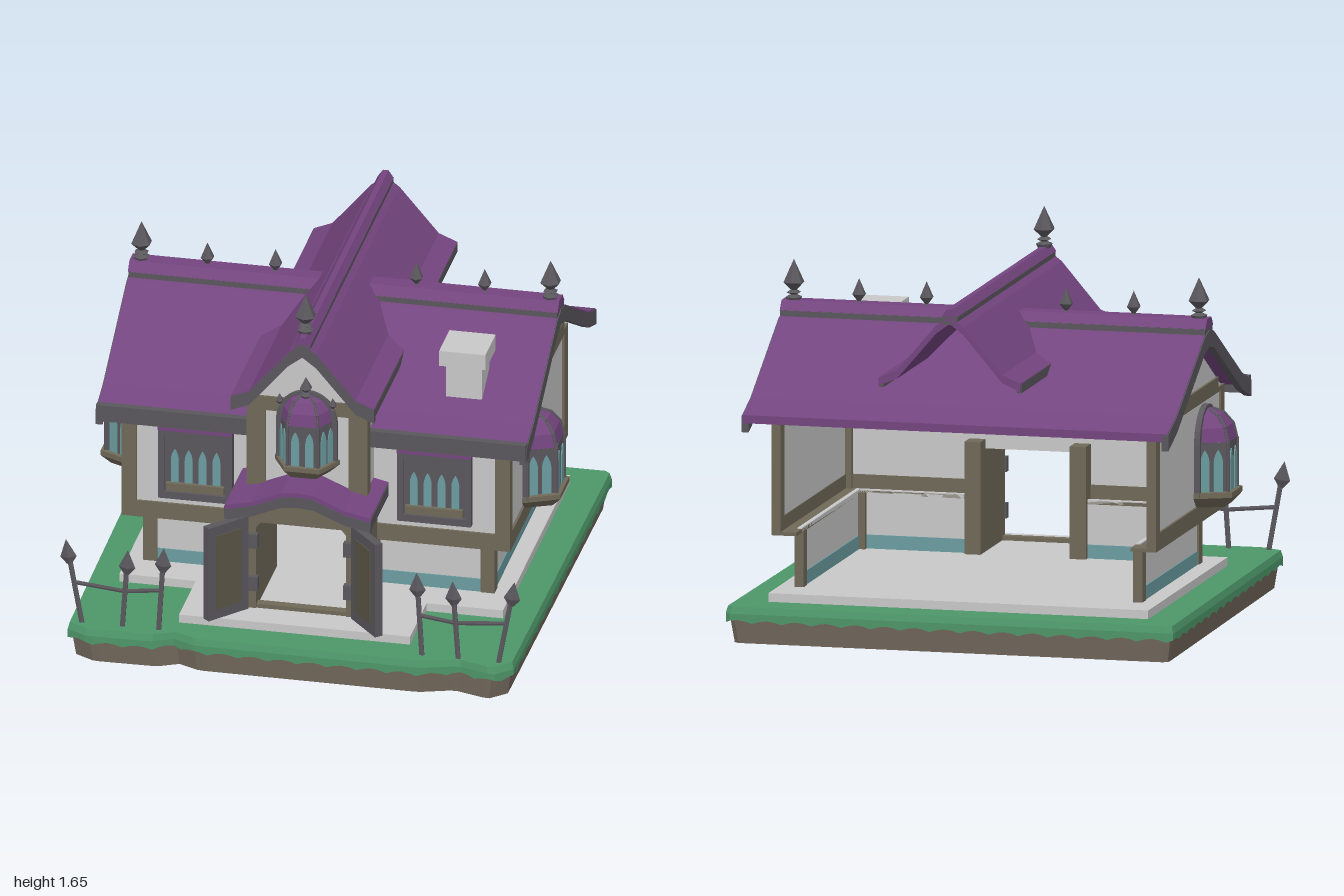
import * as THREE from 'three';

const mat = (name, color, side = THREE.FrontSide) => {
  const m = new THREE.MeshStandardMaterial({ color, side });
  m.name = name;
  return m;
};

export function createModel() {
  const D = THREE.DoubleSide;
  const plaster = mat('plaster', 0xc8c8c8, D), timber = mat('timber', 0x706958, D);
  const purple = mat('purple roof', 0x74457f, D), slate = mat('slate', 0x5a575d, D);
  const darkWood = mat('dark wood', 0x5c5546), glass = mat('teal glass', 0x6b9da0);
  const grass = mat('grass', 0x4e9669, D), earth = mat('earth', 0x756b5e, D);
  const root = new THREE.Group();
  const sides = [-1, 1];

  // ---- helpers ----
  const add = (name, geo, m, x = 0, y = 0, z = 0, parent = root) => {
    const o = new THREE.Mesh(geo, m);
    o.name = name;
    o.position.set(x, y, z);
    parent.add(o);
    return o;
  };
  const group = (name, x, y, z) => {
    const g = new THREE.Group();
    g.name = name;
    g.position.set(x, y, z);
    root.add(g);
    return g;
  };
  const box = (name, m, x0, x1, y0, y1, z0, z1, parent = root) =>
    add(name, new THREE.BoxGeometry(Math.abs(x1 - x0), y1 - y0, z1 - z0), m,
      (x0 + x1) / 2, (y0 + y1) / 2, (z0 + z1) / 2, parent);
  const flat = (g) => {
    const n = g.index ? g.toNonIndexed() : g;
    n.computeVertexNormals();
    return n;
  };
  const poly = (pts) => new THREE.Shape(pts.map(([x, y]) => new THREE.Vector2(x, y)));
  const extrude = (shape, depth) =>
    new THREE.ExtrudeGeometry(shape, { depth, bevelEnabled: false, curveSegments: 8 });
  // skin through rings of [x, y, z], listed bottom to top
  const loft = (rings, closed) => {
    const v = [], n = rings[0].length;
    for (let r = 0; r < rings.length - 1; r++)
      for (let i = 0; i < (closed ? n : n - 1); i++) {
        const j = (i + 1) % n, [a, b, c, d] = [rings[r][i], rings[r][j], rings[r + 1][j], rings[r + 1][i]];
        v.push(...a, ...b, ...c, ...a, ...c, ...d);
      }
    const g = new THREE.BufferGeometry();
    g.setAttribute('position', new THREE.Float32BufferAttribute(v, 3));
    g.computeVertexNormals();
    return g;
  };
  const bar = (name, a, b, r, m, parent) => {
    const A = new THREE.Vector3(...a), B = new THREE.Vector3(...b), d = B.clone().sub(A);
    const o = add(name, flat(new THREE.CylinderGeometry(r, r, d.length(), 6)), m, 0, 0, 0, parent);
    o.position.copy(A).add(B).multiplyScalar(0.5);
    o.quaternion.setFromUnitVectors(new THREE.Vector3(0, 1, 0), d.normalize());
  };
  const ornate = [[0.6, 0], [0.8, 0.1], [0.3, 0.16], [0.7, 0.21], [0.3, 0.27], [1, 0.45], [0, 1]];
  const plain = [[0.6, 0], [0.25, 0.12], [1, 0.38], [0, 1]];
  const finial = (x, y, z, h, r, prof = plain, parent = root, n = 6) =>
    add('finial', flat(new THREE.LatheGeometry(prof.map(([a, b]) => new THREE.Vector2(a * r, b * h)), n)), slate, x, y, z, parent);
  // symmetric gable sheet: outer points run from eave to ridge
  const roof = (pts, t, len) => {
    const up = [...pts, ...pts.filter((p) => p[0] > 0).reverse().map(([x, y]) => [-x, y])];
    return extrude(poly([...up, ...up.slice().reverse().map(([x, y]) => [x, y - t])]), len);
  };
  const lower = (pts, d) => pts.map(([x, y]) => [x, y - d]);
  const lancet = (w, h) => {
    const s = new THREE.Shape();
    s.moveTo(-w, 0); s.lineTo(w, 0); s.lineTo(w, h * 0.65);
    s.quadraticCurveTo(w, h * 0.85, 0, h);
    s.quadraticCurveTo(-w, h * 0.85, -w, h * 0.65);
    return extrude(s, 0.005);
  };

  // ---- ground: scalloped turf over an open earth skirt ----
  const outline = poly([[-0.96, -0.93], [-0.87, -0.98], [-0.59, -0.975], [-0.5, -0.93], [-0.4, -0.975],
    [0.58, -0.98], [0.73, -0.93], [0.89, -0.98], [0.965, -0.91], [0.98, 0.97], [0.97, 0.985], [-0.97, 0.985], [-0.98, 0.97]]);
  outline.closePath();
  const edge = outline.getSpacedPoints(240).slice(0, 240);
  const ring = (k, y) => edge.map((p, i) => [p.x * k, typeof y === 'function' ? y(i) : y, -p.y * k]);
  add('earthSkirt', loft([ring(0.968, 0), ring(0.99, 0.15)], true), earth);
  add('turfEdge', loft([ring(1, (i) => 0.09 + 0.014 * Math.abs(Math.sin(i * Math.PI / 4))), ring(1, 0.13), ring(0.992, 0.16)], true), grass);
  const slabPts = [[-0.83, 0.83], [-0.83, -0.5], [-0.5, -0.5], [-0.5, -0.83], [0.5, -0.83], [0.5, -0.5], [0.83, -0.5], [0.83, 0.83]];
  const lawn = poly(edge.map((p) => [p.x * 0.992, p.y * 0.992]));
  lawn.holes.push(poly(slabPts));
  add('lawn', new THREE.ShapeGeometry(lawn).rotateX(-Math.PI / 2), grass, 0, 0.16, 0);
  add('floor', new THREE.ShapeGeometry(poly(slabPts)).rotateX(-Math.PI / 2), plaster, 0, 0.197, 0);
  add('floorEdge', loft([0.155, 0.197].map((y) => slabPts.map(([x, b]) => [x, y, -b])), true), plaster);

  // ---- walls; the back is open ----
  const gableEnd = poly([[0.4, 0.44], [0.4, 0.955], [0.36, 0.975], [-0.11, 1.24], [-0.19, 1.262],
    [-0.27, 1.24], [-0.73, 0.975], [-0.73, 0.44]]);
  for (const s of sides) {
    box('lowerSideWall', plaster, s * 0.73, s * 0.75, 0.197, 0.45, -0.65, 0.34);
    box('lowerFrontWall', plaster, s * 0.2, s * 0.75, 0.197, 0.45, 0.32, 0.34);
    box('sideBaseStripe', glass, s * 0.725, s * 0.755, 0.198, 0.257, -0.6, 0.29);
    box('frontBaseStripe', glass, s * 0.265, s * 0.7, 0.198, 0.257, 0.315, 0.345);
    box('lowerFrontPost', timber, s * 0.7, s * 0.76, 0.198, 0.44, 0.29, 0.35);
    box('lowerBackPost', timber, s * 0.72, s * 0.76, 0.198, 0.44, -0.66, -0.6);
    add('upperSideWall', extrude(gableEnd, 0.025).rotateY(-Math.PI / 2), plaster, s * 0.817 + 0.0125, 0, 0);
    box('upperFrontWall', plaster, s * 0.2, s * 0.82, 0.44, 0.945, 0.375, 0.4);
    box('frontSill', timber, s * 0.24, s * 0.84, 0.43, 0.505, 0.37, 0.41);
    box('sideSill', timber, s * 0.8, s * 0.84, 0.43, 0.505, -0.74, 0.41);
    box('sideSoffit', timber, s * 0.73, s * 0.84, 0.43, 0.445, -0.74, 0.41);
    box('frontSoffit', timber, s * 0.24, s * 0.74, 0.43, 0.445, 0.32, 0.41);
    box('upperFrontPost', timber, s * 0.775, s * 0.84, 0.43, 0.945, 0.355, 0.41);
    box('upperBackPost', timber, s * 0.8, s * 0.84, 0.43, 0.955, -0.74, -0.67);
    box('sideTopBeam', timber, s * 0.8, s * 0.84, 0.94, 1.005, -0.67, 0.31);
    box('sideTopBeamEnd', timber, s * 0.8, s * 0.84, 0.94, 0.96, -0.74, 0.41);
  }
  box('frontLintelWall', plaster, -0.21, 0.21, 0.64, 0.945, 0.375, 0.4);

  // ---- main roof, ridge along x ----
  const mainPts = [[0.695, 0.967], [0.55, 1.02], [0.08, 1.28], [0, 1.3]];
  const alongX = (g, len) => g.translate(0, 0, -len / 2).rotateY(Math.PI / 2);
  add('mainRoof', alongX(roof(mainPts, 0.035, 1.856), 1.856), purple, 0, 0, -0.19);
  for (const s of sides)
    add('mainBargeboard', alongX(roof(lower(mainPts, 0.004), 0.07, 0.03), 0.03), slate, s * 0.917, 0, -0.19);
  box('mainEaveBoard', slate, -0.93, 0.93, 0.91, 0.985, 0.475, 0.508);
  add('mainRidgeLip', alongX(extrude(poly([[-0.065, 1.27], [0.065, 1.27], [0.065, 1.31], [-0.065, 1.31]]), 1.856), 1.856), slate, 0, 0, -0.19);
  add('mainRidgeCap', alongX(extrude(poly([[-0.066, 1.308], [0.066, 1.308], [0.035, 1.348], [-0.035, 1.348]]), 1.86), 1.86), purple, 0, 0, -0.19);
  for (const s of sides) {
    finial(s * 0.885, 1.34, -0.19, 0.18, 0.046, ornate);
    for (const x of [0.305, 0.6]) finial(s * x, 1.34, -0.19, 0.11, 0.03);
  }

  // ---- cross gable, ridge along z ----
  const crossPts = [[0.31, 1.172], [0.23, 1.205], [0.06, 1.405], [0, 1.45]];
  add('crossRoof', roof(crossPts, 0.035, 1.647), purple, 0, 0, -0.975);
  add('crossBargeboard', roof(lower(crossPts, 0.004), 0.062, 0.03), slate, 0, 0, 0.645);
  add('crossRidgeLip', extrude(poly([[-0.034, 1.41], [0.034, 1.41], [0.034, 1.447], [-0.034, 1.447]]), 1.645), slate, 0, 0, -0.975);
  add('crossRidgeCap', extrude(poly([[-0.035, 1.445], [0.035, 1.445], [0.012, 1.478], [-0.012, 1.478]]), 1.655), purple, 0, 0, -0.975);
  finial(0, 1.47, 0.61, 0.18, 0.046, ornate);
  add('gableFront', extrude(poly([[-0.245, 0.68], [0.245, 0.68], [0.245, 1.13], [0, 1.4], [-0.245, 1.13]]), 0.03), plaster, 0, 0, 0.545);
  const cheek = poly([[0.57, 0.68], [0.57, 1.15], [0.12, 1.15], [0.4, 0.97], [0.4, 0.68]]);
  box('gableBeam', timber, -0.262, 0.262, 1.075, 1.14, 0.54, 0.583);
  for (const s of sides) {
    box('crossEaveBoard', slate, s * 0.29, s * 0.312, 1.13, 1.17, -0.97, 0.67);
    add('gableCheek', extrude(cheek, 0.03).rotateY(-Math.PI / 2), plaster, s * 0.235 + 0.015, 0, 0);
    box('gablePost', timber, s * 0.18, s * 0.262, 0.68, 1.14, 0.52, 0.585);
    box('cheekBeam', timber, s * 0.22, s * 0.26, 1.075, 1.14, 0.2, 0.58);
  }

  // ---- porch with two open doors ----
  const porchPts = [[0.315, 0.705], [0.2, 0.73], [0.07, 0.785], [0, 0.792]];
  add('porchRoof', roof(porchPts, 0.03, 0.362), purple, 0, 0, 0.41);
  add('porchBargeboard', roof(lower(porchPts, 0.02), 0.048, 0.035), slate, 0, 0, 0.738);
  add('porchPediment', extrude(poly([[-0.265, 0.57], [-0.2, 0.57], [-0.175, 0.602], [0.175, 0.602], [0.2, 0.57], [0.265, 0.57],
    [0.265, 0.67], [0.06, 0.745], [-0.06, 0.745], [-0.265, 0.67]]), 0.05), timber, 0, 0, 0.65);
  box('threshold', timber, -0.2, 0.2, 0.185, 0.215, 0.655, 0.695);
  for (const s of sides) {
    box('porchWall', timber, s * 0.195, s * 0.265, 0.185, 0.68, 0.29, 0.7);
    box('porchEaveBoard', slate, s * 0.29, s * 0.318, 0.65, 0.7, 0.42, 0.77);
    const door = group('door', s * 0.235, 0, 0.715);
    door.rotation.y = -s * 0.85;
    box('doorLeaf', slate, 0, s * 0.21, 0.205, 0.64, -0.018, 0.018, door);
    box('doorPanel', darkWood, s * 0.04, s * 0.17, 0.25, 0.595, -0.022, 0.022, door);
    for (const y of [0.285, 0.485]) box('hinge', slate, s * 0.185, s * 0.235, y, y + 0.065, 0.69, 0.72);
  }

  // ---- bay windows with domed tops ----
  const bayRing = ([w, d, y]) => [[-w, y, 0], [-0.55 * w, y, d], [0.55 * w, y, d], [w, y, 0]];
  const bay = (x, y, z) => {
    const g = group('bayWindow', x, y, z);
    const base = [[0.11, 0, 0], [0.11, 0.11, 0], [0.16, 0.15, 0.045], [0.16, 0.15, 0.068], [0.13, 0.12, 0.07]].map(bayRing);
    const body = [[0.138, 0.13, 0.06], [0.138, 0.13, 0.28]].map(bayRing);
    const dome = [[0.136, 0.128, 0.28], [0.125, 0.115, 0.34], [0.09, 0.08, 0.387], [0.04, 0.035, 0.41], [0, 0, 0.415]].map(bayRing);
    add('bayBase', loft(base), timber, 0, 0, 0, g);
    add('bayBody', loft(body), slate, 0, 0, 0, g);
    add('bayDome', loft(dome), purple, 0, 0, 0, g);
    for (const i of [1, 2]) {
      bar('bayMullion', body[0][i], body[1][i], 0.008, slate, g);
      for (let r = 0; r < 3; r++) bar('domeRib', dome[r][i], dome[r + 1][i], 0.007, slate, g);
    }
    // glass on each facet
    for (let i = 0; i < 3; i++) {
      const [a, b] = [body[0][i], body[0][i + 1]];
      for (const t of i === 1 ? [0.27, 0.73] : [0.3, 0.7]) {
        const o = add('bayPane', lancet(0.02, 0.18), glass, a[0] + (b[0] - a[0]) * t, 0.07, a[2] + (b[2] - a[2]) * t, g);
        o.rotation.y = Math.atan2(a[2] - b[2], b[0] - a[0]);
      }
    }
    const arch = new THREE.Shape();
    arch.moveTo(-0.15, 0.05); arch.lineTo(0.15, 0.05); arch.lineTo(0.15, 0.27);
    arch.absellipse(0, 0.27, 0.15, 0.158, 0, Math.PI);
    add('bayArch', extrude(arch, 0.025), slate, 0, 0, 0, g);
    return g;
  };
  for (const s of sides) bay(s * 0.845, 0.51, 0.03).rotation.y = s * Math.PI / 2;
  bay(0, 0.81, 0.575).scale.set(0.88, 0.88, 0.77);
  finial(0, 1.165, 0.605, 0.095, 0.028, ornate);
  for (const s of sides) finial(s * 0.115, 1.115, 0.6, 0.055, 0.018);

  // ---- square front windows ----
  for (const s of sides) {
    const g = group('frontWindow', s * 0.517, 0, 0.4);
    box('windowBacking', slate, -0.155, 0.155, 0.55, 0.86, 0, 0.02, g);
    for (const k of sides) box('windowJamb', slate, k * 0.135, k * 0.16, 0.54, 0.86, 0, 0.035, g);
    box('windowBottom', slate, -0.16, 0.16, 0.54, 0.572, 0, 0.035, g);
    box('windowTop', slate, -0.16, 0.16, 0.835, 0.862, 0, 0.035, g);
    box('windowHood', purple, -0.162, 0.162, 0.86, 0.875, 0, 0.04, g);
    box('windowSill', timber, -0.125, 0.125, 0.58, 0.615, 0.01, 0.04, g);
    for (let i = 0; i < 4; i++) add('windowPane', lancet(0.017, 0.155), glass, -0.09 + i * 0.06, 0.615, 0.019, g);
    for (const x of [-0.13, 0, 0.13]) finial(x, 0.865, 0.022, 0.04, 0.017, plain, g);
  }

  // ---- chimney ----
  box('chimneyShaft', plaster, 0.535, 0.69, 1.0, 1.23, 0.125, 0.275);
  box('chimneyCap', plaster, 0.51, 0.71, 1.22, 1.29, 0.095, 0.3);

  // ---- crooked front fences with flat spearheads ----
  const posts = [[0.57, 0.552, 0.545], [0.727, 0.708, 0.52], [0.9, 0.955, 0.545]];
  for (const s of sides) {
    const g = group('fence', 0, 0, 0.915);
    g.scale.z = 0.5;
    posts.forEach(([x0, x1, top], i) => {
      bar('fencePost', [s * x0, 0.15, 0], [s * x1, top - 0.09, 0], 0.012, slate, g);
      finial(s * x1, top - 0.115, 0, 0.115, 0.036, [[0.3, 0], [1, 0.3], [0, 1]], g, 4).rotation.z = s * (x0 - x1) * 2.5;
      if (i) bar('fenceRail', [s * (posts[i - 1][0] + posts[i - 1][1]) / 2, i === 1 ? 0.345 : 0.325, 0],
        [s * (x0 + x1) / 2, i === 1 ? 0.325 : 0.345, 0], 0.01, slate, g);
    });
  }
  return root;
}
